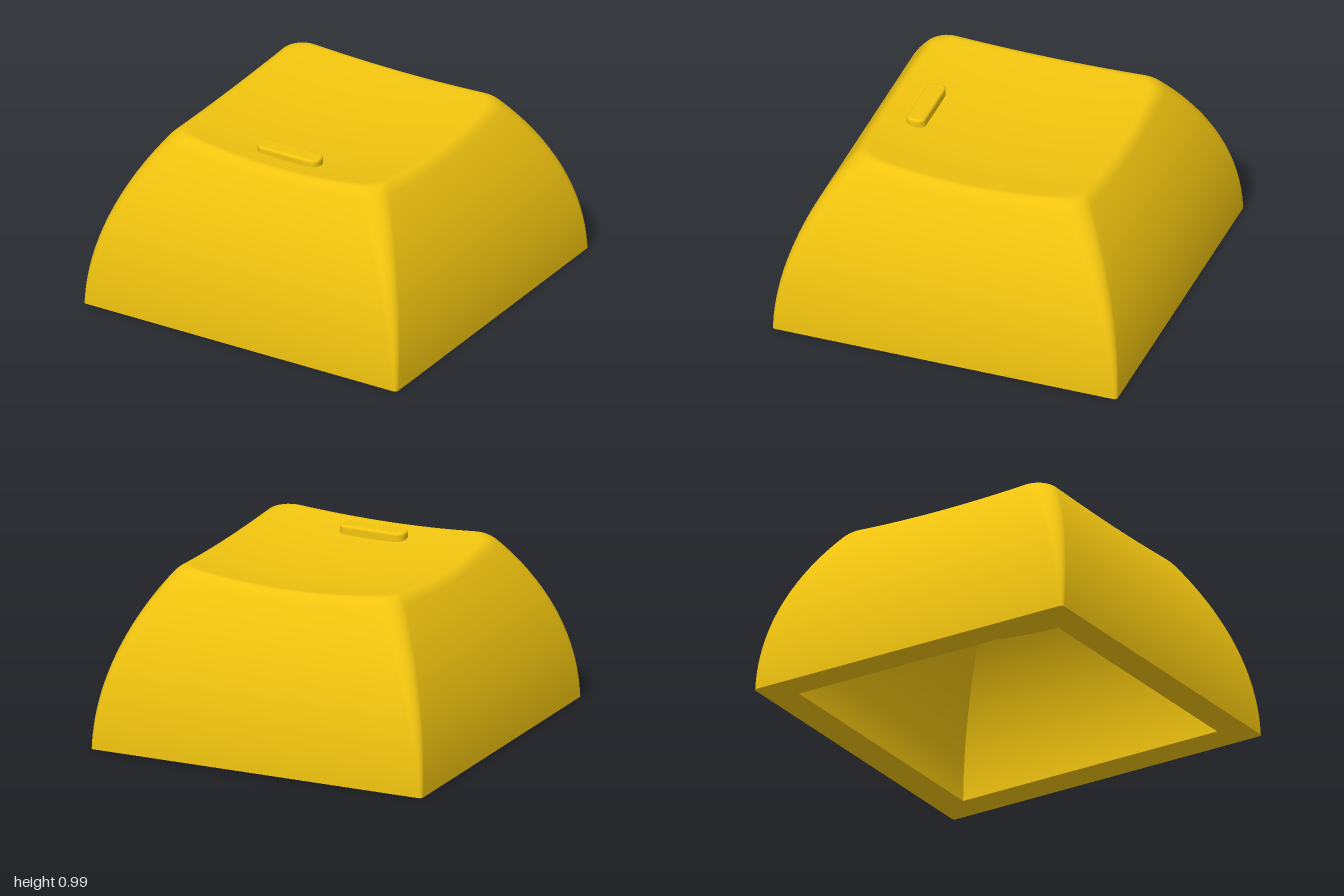
import * as THREE from 'three';
import { mergeVertices } from 'three/addons/utils/BufferGeometryUtils.js';

const SIDE = 16, ARC = 8, STEP = SIDE + ARC, AROUND = STEP * 4;

// Smooth surface from a function (i, j) => [x, y, z]; i runs around, j runs across
function grid(ni, nj, fn) {
  const pos = [], index = [];
  for (let j = 0; j <= nj; j++) for (let i = 0; i <= ni; i++) pos.push(...fn(i, j));
  for (let j = 0; j < nj; j++) for (let i = 0; i < ni; i++) {
    const a = j * (ni + 1) + i, b = a + ni + 1;
    index.push(a, b, a + 1, a + 1, b, b + 1);
  }
  let g = new THREE.BufferGeometry();
  g.setAttribute('position', new THREE.Float32BufferAttribute(pos, 3));
  g.setIndex(index);
  g = mergeVertices(g, 1e-5);
  g.computeVertexNormals();
  return g;
}

// Point i on a rounded square of half width w and corner radius r
function ringPoint(i, w, r) {
  const q = Math.floor(i / STEP) % 4, k = i % STEP;
  let x = w, z = (w - r) * (2 * k / SIDE - 1);
  if (k >= SIDE) {
    const a = (k - SIDE) / ARC * Math.PI / 2;
    x = w - r + r * Math.cos(a);
    z = w - r + r * Math.sin(a);
  }
  for (let n = 0; n < q; n++) [x, z] = [-z, x];
  return [x, z];
}

// A shell: arched walls (half width, arch radius, corner radius) under a dished top
function makeShell(half, arch, radius, dishLow, dishCurve) {
  const dish = (x, z) => dishLow + dishCurve * (x * x + z * z);
  const wall = (i, y) => {
    const [x, z] = ringPoint(i, half - arch + Math.sqrt(arch * arch - y * y), radius(y));
    return [x, y, z];
  };
  // where the wall meets the dish
  const edge = (i) => {
    let y = dishLow;
    for (let n = 0; n < 12; n++) { const p = wall(i, y); y = dish(p[0], p[2]); }
    return wall(i, y);
  };
  const onDish = (e, s) => [e[0] * s, dish(e[0] * s, e[2] * s), e[2] * s];
  return { wall, edge, onDish };
}

export function createModel() {
  const group = new THREE.Group();
  const material = new THREE.MeshStandardMaterial({ color: 0xf1c40f });
  const add = (name, geometry) => {
    const mesh = new THREE.Mesh(geometry, material);
    mesh.name = name;
    group.add(mesh);
    return mesh;
  };

  // Outer body: wall, softened top edge, then dished top, in one smooth skin
  const outer = makeShell(1, 1.6, (y) => 0.02 + 0.1 * y, 0.907, 0.115);
  const WALL = 24, SOFT = 8, TOP = 14, DROP = 0.05, INSET = 0.94;
  add('outerBody', grid(AROUND, WALL + SOFT + TOP, (i, j) => {
    const e = outer.edge(i);
    if (j <= WALL) return outer.wall(i, (e[1] - DROP) * j / WALL);
    if (j <= WALL + SOFT) {
      const t = (j - WALL) / SOFT;
      const a = outer.wall(i, e[1] - DROP), c = outer.onDish(e, INSET);
      return e.map((v, n) => (1 - t) ** 2 * a[n] + 2 * t * (1 - t) * v + t * t * c[n]);
    }
    return outer.onDish(e, INSET * (1 - (j - WALL - SOFT) / TOP));
  }));

  // Hollow inside: dished ceiling and four arched walls meeting in sharp corners
  const inner = makeShell(0.823, 1.25, () => 0, 0.707, 0.12);
  add('innerCeiling', grid(AROUND, 10, (i, j) => inner.onDish(inner.edge(i), j / 10)));
  const innerWall = grid(SIDE, 20, (i, j) => {
    // the last point of a side is the first of its corner
    return inner.wall(i, inner.edge(i)[1] * (1 - j / 20));
  });
  for (let q = 0; q < 4; q++) add('innerWall', innerWall).rotation.y = q * Math.PI / 2;

  // Flat rim it stands on
  add('bottomRim', grid(AROUND, 1, (i, j) => (j ? outer : inner).wall(i, 0)));

  // Raised bar near the front of the top
  const hx = 0.18, hz = 0.04, r = 0.03, bevel = 0.015;
  const outline = new THREE.Shape();
  outline.absarc(hx - r, hz - r, r, 0, Math.PI / 2);
  outline.absarc(r - hx, hz - r, r, Math.PI / 2, Math.PI);
  outline.absarc(r - hx, r - hz, r, Math.PI, Math.PI * 1.5);
  outline.absarc(hx - r, r - hz, r, Math.PI * 1.5, Math.PI * 2);
  const bar = new THREE.ExtrudeGeometry(outline, {
    depth: 0.05, bevelSize: bevel, bevelThickness: bevel, bevelSegments: 4, curveSegments: 8,
  });
  bar.rotateX(-Math.PI / 2);
  add('raisedBar', bar).position.set(0, 0.98 - 0.05 - bevel, 0.475);

  return group;
}
